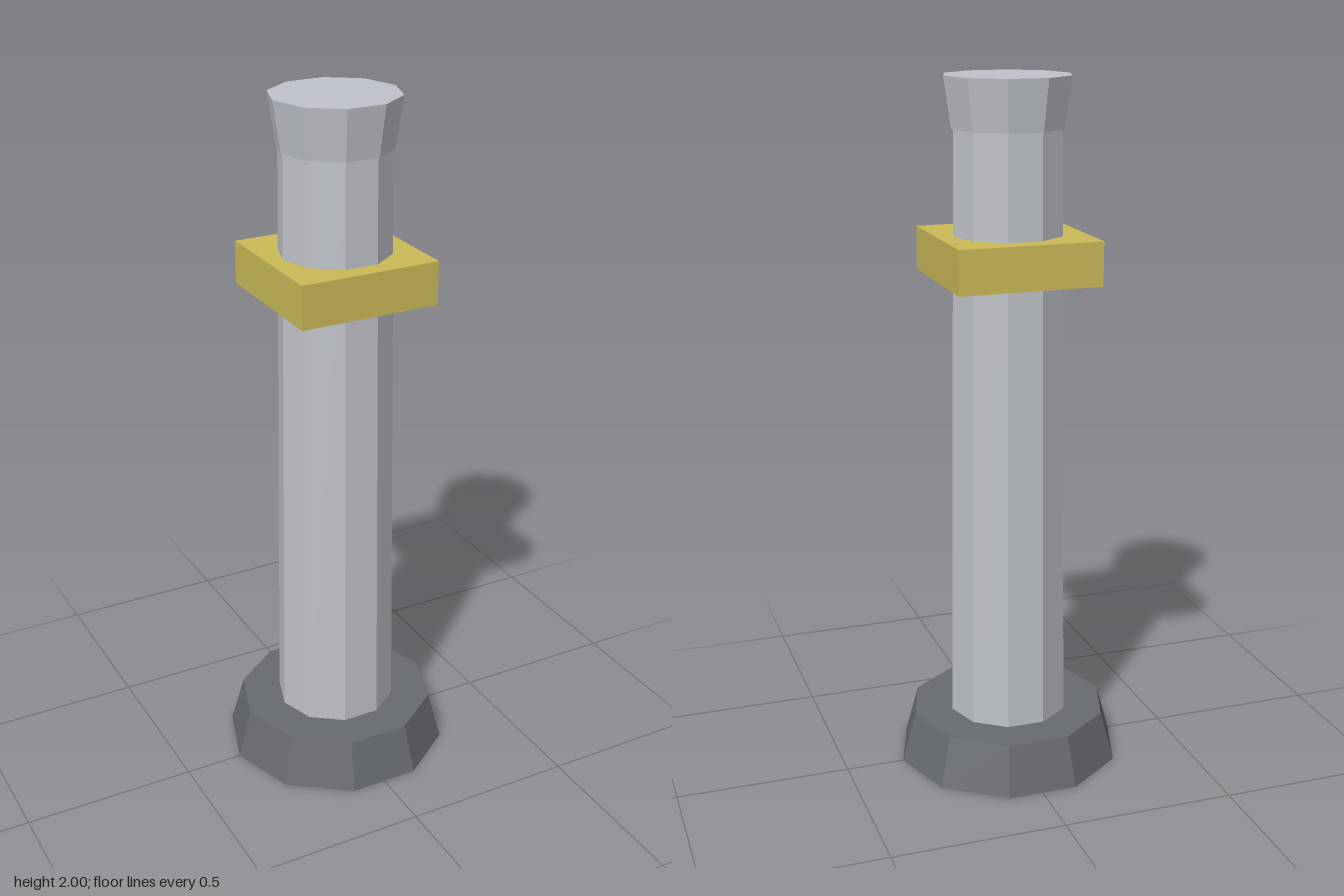
import * as THREE from 'three';

export function createModel() {
  const model = new THREE.Group();
  const material = (name, color) => {
    const m = new THREE.MeshStandardMaterial({ color, flatShading: true });
    m.name = name;
    return m;
  };
  const paleStone = material('pale stone', 0xbfc2c8);
  const darkStone = material('dark stone', 0x676a6f);
  const brass = material('brass', 0xc9b957);

  const add = (name, geometry, mat, y) => {
    const mesh = new THREE.Mesh(geometry, mat);
    mesh.name = name;
    mesh.position.y = y;
    model.add(mesh);
  };

  // Ten-sided tapered drum with corners on the x axis
  const drum = (name, rBottom, rTop, y0, y1, mat) => {
    const geometry = new THREE.CylinderGeometry(rTop, rBottom, y1 - y0, 10);
    geometry.rotateY(Math.PI / 2);
    add(name, geometry, mat, (y0 + y1) / 2);
  };

  drum('base', 0.33, 0.29, 0, 0.145, darkStone);
  drum('shaft', 0.175, 0.155, 0.145, 1.86, paleStone);
  drum('capital', 0.16, 0.181, 1.858, 2, paleStone);

  // Square collar around the shaft
  add('collar', new THREE.BoxGeometry(0.41, 0.124, 0.41), brass, 1.507);

  return model;
}
